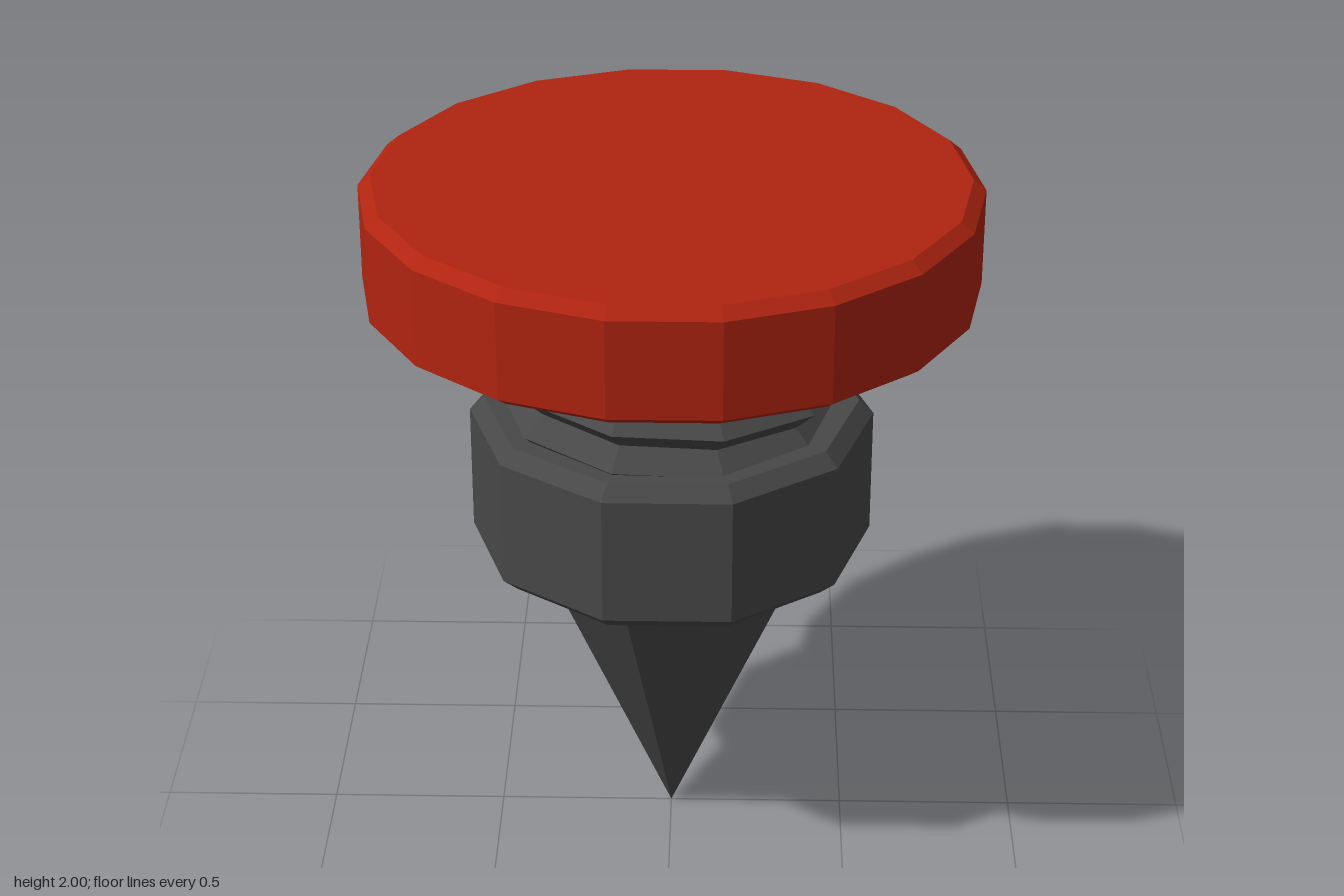
import * as THREE from 'three';

const redMat = new THREE.MeshStandardMaterial({ color: 0xb02410 });
redMat.name = 'red cap';
const darkMat = new THREE.MeshStandardMaterial({ color: 0x484848 });
darkMat.name = 'dark metal';

// Faceted mesh with one normal per face
function faceted(name, geometry, material) {
  const geo = geometry.toNonIndexed();
  geo.computeVertexNormals();
  const mesh = new THREE.Mesh(geo, material);
  mesh.name = name;
  return mesh;
}

// Turned part from a profile listed bottom to top, with a corner on the +x axis
function turned(name, profile, sides, material) {
  const points = profile.map(([r, y]) => new THREE.Vector2(r, y));
  return faceted(name, new THREE.LatheGeometry(points, sides, Math.PI / 2), material);
}

// V-shaped ridge wound around the axis; neighbouring turns meet at their roots
function threadGeometry({ sides, turns, pitch, startY, root, crest }) {
  const positions = [], index = [];
  const steps = sides * turns;
  for (let i = 0; i <= steps; i++) {
    const a = (i / sides) * Math.PI * 2;
    const y = startY + (i / sides) * pitch;
    for (const [r, dy] of [[root, -pitch / 2], [crest, 0], [root, pitch / 2]]) {
      positions.push(Math.cos(a) * r, y + dy, Math.sin(a) * r);
    }
  }
  for (let i = 0; i < steps; i++) {
    for (let k = 0; k < 2; k++) {
      const p = i * 3 + k, q = p + 3;
      index.push(q, p, p + 1, q, p + 1, q + 1);
    }
  }
  const geo = new THREE.BufferGeometry();
  geo.setAttribute('position', new THREE.Float32BufferAttribute(positions, 3));
  geo.setIndex(index);
  return geo;
}

export function createModel() {
  const group = new THREE.Group();
  group.name = 'spikeFoot';

  // Pointed tip
  group.add(turned('spike', [[0, 0], [0.41, 0.91]], 10, darkMat));

  // Chamfered collar
  group.add(turned('collar', [
    [0, 0.9], [0.515, 0.9], [0.56, 0.94], [0.56, 1.3], [0.52, 1.34], [0, 1.34],
  ], 10, darkMat));

  // Screw thread, running from inside the collar into the cap
  group.add(faceted('thread', threadGeometry({
    sides: 10, turns: 5, pitch: 0.111, startY: 1.202, root: 0.42, crest: 0.48,
  }), darkMat));

  // Cap with chamfered rims and a shallow recess underneath
  group.add(turned('cap', [
    [0.7, 1.715], [0.7, 1.675], [0.805, 1.675], [0.84, 1.7],
    [0.84, 1.97], [0.805, 2], [0, 2],
  ], 18, redMat));

  // Dark pad set into the recess
  group.add(turned('pad', [[0, 1.715], [0.7, 1.715], [0.7, 1.78], [0, 1.78]], 18, darkMat));

  return group;
}
